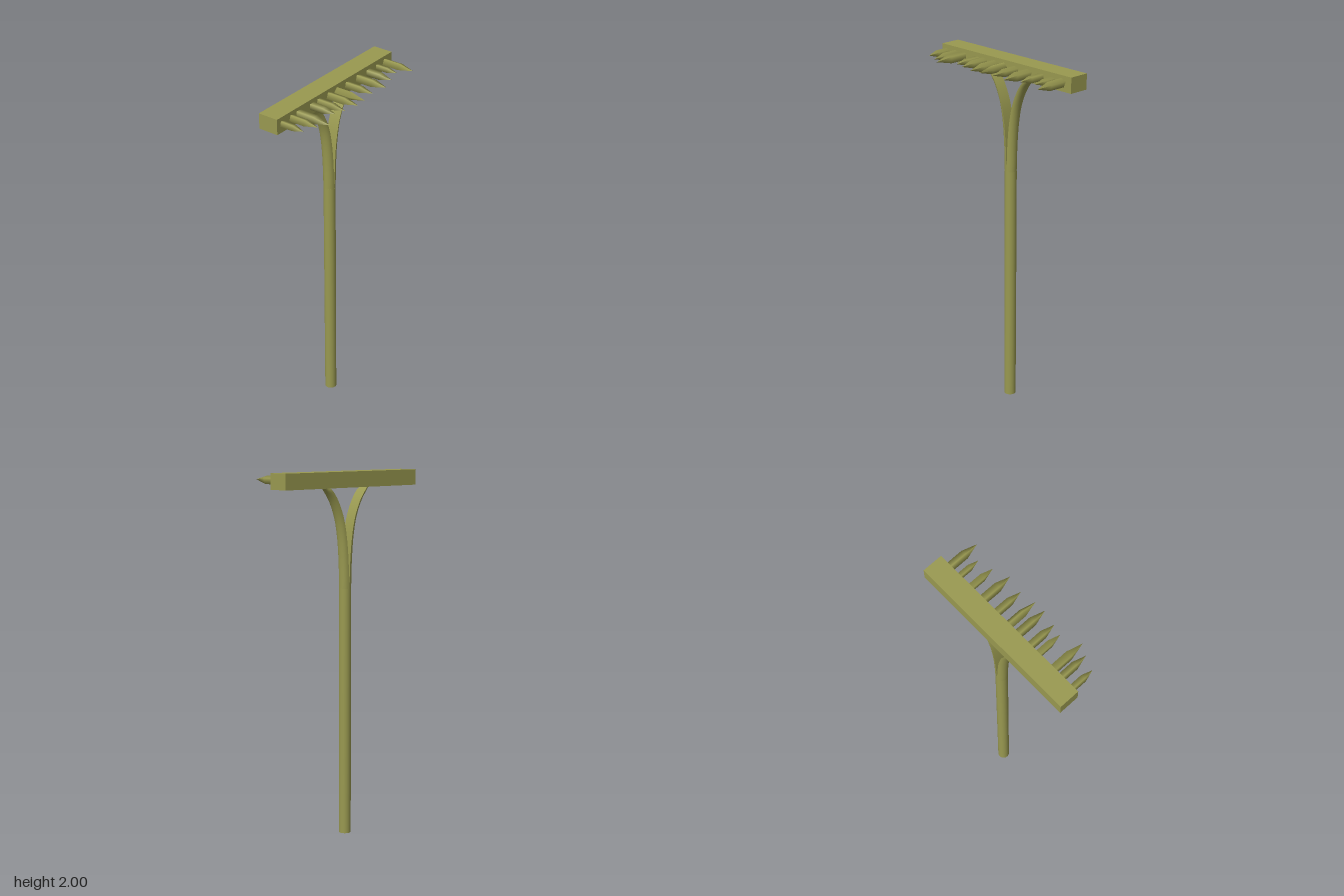
import * as THREE from 'three';

const material = new THREE.MeshStandardMaterial({ color: 0x999950 });
const AXIS_Z = -0.097, RADIUS = 0.033, SPLIT_Y = 1.37;

// Half-round arm swept along the path of its flat inner face, bending towards +x.
function armGeometry() {
  const path = new THREE.CatmullRomCurve3([
    [0, SPLIT_Y], [0.007, 1.53], [0.021, 1.66], [0.044, 1.76], [0.085, 1.85], [0.128, 1.905], [0.155, 1.925],
  ].map(([x, y]) => new THREE.Vector3(x, y, 0)));
  const rings = 20, arc = 10, cols = arc + 3;
  const positions = [], index = [];
  for (let i = 0; i <= rings; i++) {
    const t = i / rings;
    const p = path.getPoint(t), d = path.getTangent(t);
    if (i === 0) d.set(0, 1, 0);
    const thick = THREE.MathUtils.lerp(RADIUS, 0.018, t);
    const halfWidth = RADIUS * (1 - 0.4 * THREE.MathUtils.smoothstep(t, 0.8, 1));
    for (let j = 0; j < cols; j++) {
      // Columns 0..arc run round the outside; the last two close the flat face.
      const k = j <= arc ? j : j === arc + 1 ? arc : 0;
      const a = (k / arc - 0.5) * Math.PI;
      const out = thick * Math.cos(a);
      positions.push(p.x + d.y * out, p.y - d.x * out, halfWidth * Math.sin(a));
    }
  }
  for (let i = 0; i < rings; i++) {
    for (let j = 0; j < cols - 1; j++) {
      if (j === arc) continue;
      const a = i * cols + j, b = a + cols;
      index.push(a, b, a + 1, b, b + 1, a + 1);
    }
  }
  const geometry = new THREE.BufferGeometry();
  geometry.setAttribute('position', new THREE.Float32BufferAttribute(positions, 3));
  geometry.setIndex(index);
  geometry.computeVertexNormals();
  return geometry;
}

// Four-sided peg with a pointed end, lying along +z.
function toothGeometry(width, shoulder, tip, spin) {
  const a = THREE.MathUtils.degToRad(spin);
  const r = width / 2 / Math.max(Math.cos(a), Math.sin(a));
  const profile = [[r, -0.06], [r, shoulder], [0, tip]].map(([x, y]) => new THREE.Vector2(x, y));
  return new THREE.LatheGeometry(profile, 4, a).rotateX(Math.PI / 2);
}

export function createModel() {
  const model = new THREE.Group();
  const add = (name, geometry, x, y, z) => {
    const mesh = new THREE.Mesh(geometry, material);
    mesh.name = name;
    mesh.position.set(x, y, z);
    model.add(mesh);
    return mesh;
  };

  // Handle and crossbar
  add('handle', new THREE.CylinderGeometry(RADIUS, RADIUS, SPLIT_Y, 24), 0, SPLIT_Y / 2, AXIS_Z);
  add('head', new THREE.BoxGeometry(0.97, 0.085, 0.115), 0, 1.9575, -0.1025);

  // Split arms: the right one is the left one turned half round
  const arm = armGeometry();
  add('leftArm', arm, 0, 0, AXIS_Z);
  add('rightArm', arm, 0, 0, AXIS_Z).rotation.y = Math.PI;

  // Teeth: x, width, shoulder z, tip z, turn in degrees
  [
    [-0.445, 0.034, 0.03, 0.09, 30],
    [-0.37, 0.04, 0.045, 0.12, 25],
    [-0.314, 0.04, 0.06, 0.152, 40],
    [-0.207, 0.031, 0.035, 0.105, 45],
    [-0.15, 0.039, 0.045, 0.12, 30],
    [-0.065, 0.044, 0.055, 0.138, 25],
    [0, 0.045, 0.05, 0.135, 0],
    [0.088, 0.039, 0.045, 0.12, 30],
    [0.184, 0.044, 0.055, 0.138, 30],
    [0.273, 0.031, 0.035, 0.105, 45],
    [0.355, 0.029, 0.025, 0.083, 35],
    [0.425, 0.045, 0.055, 0.138, 22],
  ].forEach(([x, ...size], i) => add(`tooth${i + 1}`, toothGeometry(...size), x, 1.962, 0));

  return model;
}
